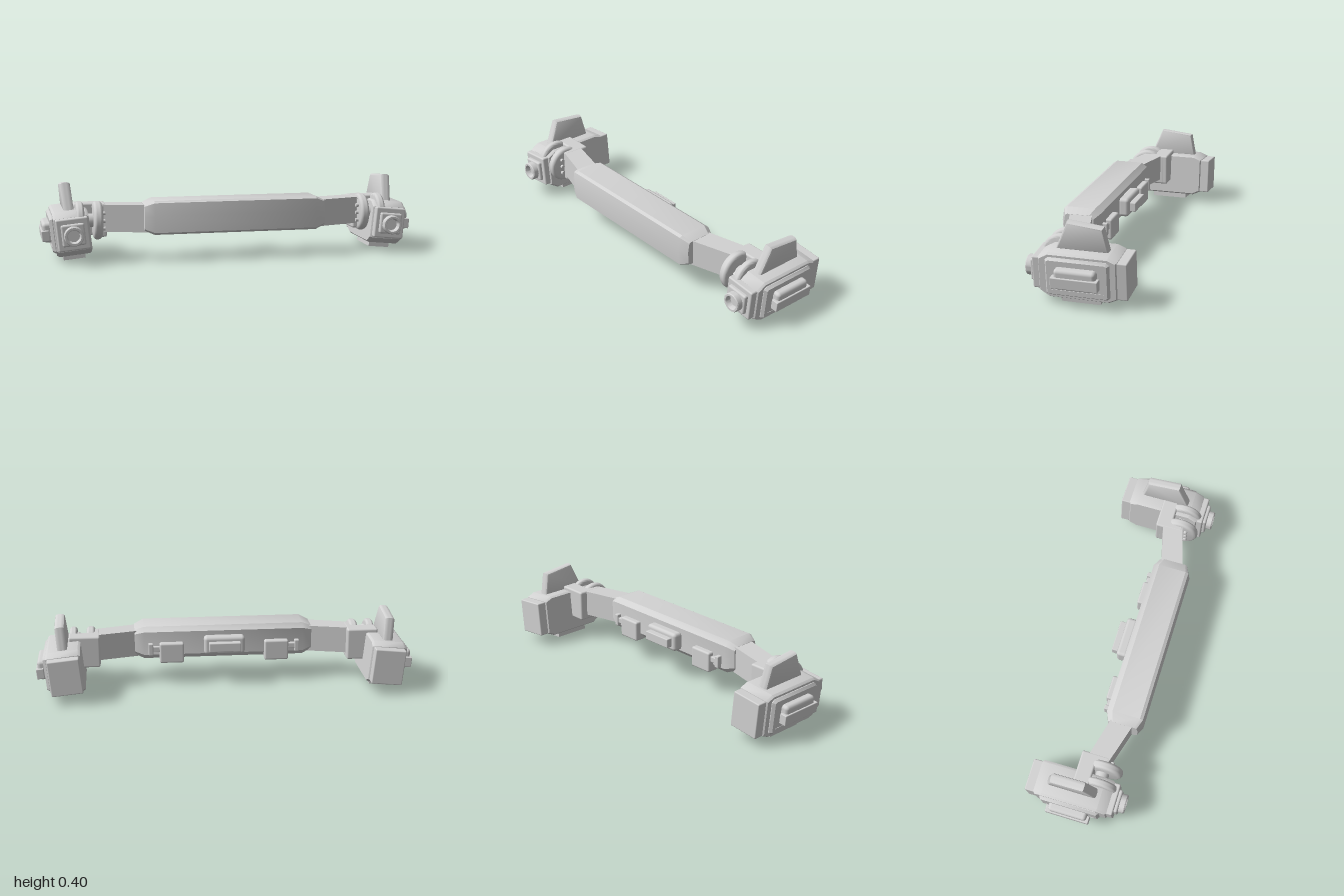
import * as THREE from 'three';
import { toCreasedNormals } from 'three/addons/utils/BufferGeometryUtils.js';
import { RoundedBoxGeometry } from 'three/addons/geometries/RoundedBoxGeometry.js';

const grey = new THREE.MeshStandardMaterial({ color: 0xd2d2d2 });
grey.name = 'plain grey';

function add(parent, name, geometry, x = 0, y = 0, z = 0) {
  const mesh = new THREE.Mesh(geometry, grey);
  mesh.name = name;
  mesh.position.set(x, y, z);
  parent.add(mesh);
  return mesh;
}

const rbox = (w, h, d, r = 0.01) => new RoundedBoxGeometry(w, h, d, 2, r);
const outline = (pts) => new THREE.Shape(pts.map(([a, b]) => new THREE.Vector2(a, b)));

// Profile in (z, y), given its full width across x, with a bevelled rim
function sideExtrude(pts, width, bevel, inset, segments = 1) {
  const g = new THREE.ExtrudeGeometry(outline(pts), {
    depth: width - 2 * bevel, bevelEnabled: true, bevelThickness: bevel,
    bevelSize: inset, bevelOffset: -inset, bevelSegments: segments,
  });
  g.translate(0, 0, -(width - 2 * bevel) / 2);
  return toCreasedNormals(g.rotateY(-Math.PI / 2), 0.6);
}

// Plan in (x, z), extruded upwards from y = 0
function planExtrude(pts, height, holes = []) {
  const shape = outline(pts.map(([x, z]) => [x, -z]));
  for (const h of holes) shape.holes.push(outline(h.map(([x, z]) => [x, -z])));
  return new THREE.ExtrudeGeometry(shape, { depth: height, bevelEnabled: false }).rotateX(-Math.PI / 2);
}

const rect = (x0, x1, z0, z1) => [[x0, z0], [x1, z0], [x1, z1], [x0, z1]];

// Bar skinned over closed sections along x
function barGeometry() {
  const stations = [[-0.48, 0.022], [-0.43, 0], [0.43, 0], [0.48, 0.022]];
  const section = [[0.03, 0.165], [0.052, 0.14], [0.21, 0.14], [0.228, 0.152],
    [0.234, 0.24], [0.224, 0.306], [0.208, 0.315], [0.06, 0.315], [0.03, 0.292]];
  const cz = 0.13, cy = 0.225, n = section.length, pos = [], idx = [];
  for (const [x, inset] of stations) {
    for (const [z, y] of section) {
      pos.push(x, cy + (y - cy) * (1 - inset / 0.09), cz + (z - cz) * (1 - inset / 0.1));
    }
  }
  for (let s = 0; s < stations.length - 1; s++) {
    for (let i = 0; i < n; i++) {
      const a = s * n + i, b = s * n + (i + 1) % n;
      idx.push(a, a + n, b, b, a + n, b + n);
    }
  }
  const last = (stations.length - 1) * n;
  for (let i = 1; i < n - 1; i++) {
    idx.push(0, i, i + 1, last, last + i + 1, last + i);
  }
  const g = new THREE.BufferGeometry();
  g.setAttribute('position', new THREE.Float32BufferAttribute(pos, 3));
  g.setIndex(idx);
  return toCreasedNormals(g, 0.5);
}

// Round lug with a soft rim, axis along x
function lugGeometry(radius, width) {
  const h = width / 2, r = h * 0.75, pts = [new THREE.Vector2(0, -h)];
  for (let i = 0; i <= 8; i++) {
    const a = -Math.PI / 2 + (Math.PI * i) / 8;
    pts.push(new THREE.Vector2(radius - r + Math.cos(a) * r, Math.sin(a) * h));
  }
  pts.push(new THREE.Vector2(0, h));
  return toCreasedNormals(new THREE.LatheGeometry(pts, 32), 0.7).rotateZ(-Math.PI / 2);
}

// Open lens barrel with a recessed floor, axis along z
function lensGeometry() {
  const pts = [[0.05, 0], [0.05, 0.055], [0.046, 0.06], [0.036, 0.06], [0.033, 0.055], [0.03, 0.033], [0, 0.033]]
    .map(([r, y]) => new THREE.Vector2(r, y));
  return toCreasedNormals(new THREE.LatheGeometry(pts, 32), 0.5).rotateX(Math.PI / 2);
}

// Tilted end pod; s is +1 for left, -1 for right
function makePod(s) {
  const pod = new THREE.Group();
  pod.name = s > 0 ? 'leftPod' : 'rightPod';
  pod.position.set(0.845 * s, 0.15, 0);
  pod.rotation.z = -0.1 * s;
  const inner = new THREE.Group();
  inner.name = 'podParts';
  inner.position.y = -0.15;
  pod.add(inner);

  add(inner, 'podBody', sideExtrude([[0.18, 0.068], [0.13, 0.036], [-0.165, 0.036], [-0.21, 0.058],
    [-0.21, 0.25], [-0.165, 0.268], [0.13, 0.268], [0.18, 0.24]], 0.18, 0.012, 0.008));
  add(inner, 'outerPanel', sideExtrude([[0.14, 0.068], [0.125, 0.056], [-0.16, 0.056], [-0.175, 0.068],
    [-0.175, 0.237], [-0.16, 0.249], [0.125, 0.249], [0.14, 0.237]], 0.05, 0.014, 0.01), 0.083 * s);
  add(inner, 'panelSeam', new THREE.BoxGeometry(0.006, 0.004, 0.26), 0.107 * s, 0.089, -0.018);
  add(inner, 'backBlock', rbox(0.165, 0.19, 0.08, 0.006), 0, 0.152, -0.217);
  add(inner, 'frontPlate', rbox(0.165, 0.165, 0.045, 0.008), 0, 0.157, 0.188);
  add(inner, 'lensCollar', rbox(0.12, 0.112, 0.03, 0.01), 0, 0.156, 0.214);
  add(inner, 'lensBarrel', lensGeometry(), 0, 0.153, 0.2);

  // Upright fin with a rounded rim
  add(inner, 'fin', sideExtrude([[0.112, 0.26], [0.05, 0.405], [-0.128, 0.386], [-0.155, 0.26]],
    0.052, 0.02, 0.012, 3), 0.002 * s);

  // Outer grip
  add(inner, 'gripBase', rbox(0.055, 0.105, 0.205, 0.018), 0.118 * s, 0.16, -0.017);
  add(inner, 'gripBar', rbox(0.04, 0.055, 0.232, 0.004), 0.134 * s, 0.147, -0.017);

  // Slotted plate underneath
  const slots = [0, 1, 2, 3].map((i) => rect(-0.035, 0.035, -0.1 + i * 0.045, -0.07 + i * 0.045));
  add(inner, 'ventPlate', planExtrude(rect(-0.057, 0.057, -0.115, 0.08), 0.034, slots), 0, 0.006, 0);
  return pod;
}

// Arm, bracket and lugs joining the bar to a pod
function makeJoint(s) {
  const joint = new THREE.Group();
  joint.name = s > 0 ? 'leftJoint' : 'rightJoint';
  add(joint, 'arm', planExtrude([[0.44, 0.07], [0.7, 0.005], [0.7, 0.115], [0.44, 0.19]]
    .map(([x, z]) => [x * s, z]), 0.142), 0, 0.15, 0);
  add(joint, 'bracket', rbox(0.165, 0.17, 0.085, 0.01), 0.748 * s, 0.208, 0.015);
  add(joint, 'innerBracket', rbox(0.06, 0.17, 0.13, 0.01), 0.695 * s, 0.208, 0.055);
  add(joint, 'innerLug', lugGeometry(0.1, 0.046), 0.713 * s, 0.21, 0.102);
  add(joint, 'outerLug', lugGeometry(0.1, 0.04), 0.805 * s, 0.21, 0.102);
  add(joint, 'pivotPin', new THREE.CylinderGeometry(0.035, 0.035, 0.12, 20).rotateZ(Math.PI / 2),
    0.755 * s, 0.21, 0.1);
  for (const y of [0.17, 0.21, 0.25]) {
    add(joint, 'bolt', new THREE.CylinderGeometry(0.01, 0.01, 0.02, 12).rotateZ(Math.PI / 2),
      0.686 * s, y, 0.138);
  }
  return joint;
}

// Small box with an outward clip on the back of the bar
function makeClip(s) {
  const clip = new THREE.Group();
  clip.name = s > 0 ? 'leftClip' : 'rightClip';
  add(clip, 'clipBox', rbox(0.13, 0.11, 0.07, 0.01), 0.283 * s, 0.18, 0.033);
  add(clip, 'clipTab', rbox(0.05, 0.03, 0.03, 0.004), 0.362 * s, 0.2, 0.025);
  add(clip, 'clipEnd', rbox(0.025, 0.065, 0.035, 0.005), 0.395 * s, 0.2, 0.022);
  return clip;
}

export function createModel() {
  const model = new THREE.Group();
  model.name = 'sensorBar';
  add(model, 'bar', barGeometry());

  // Central grip on the back
  add(model, 'backGripBase', rbox(0.22, 0.1, 0.06, 0.018), 0, 0.22, 0.01);
  add(model, 'backGripBar', rbox(0.17, 0.05, 0.06, 0.005), 0, 0.22, -0.022);

  for (const s of [1, -1]) {
    model.add(makeClip(s), makeJoint(s), makePod(s));
  }
  return model;
}
